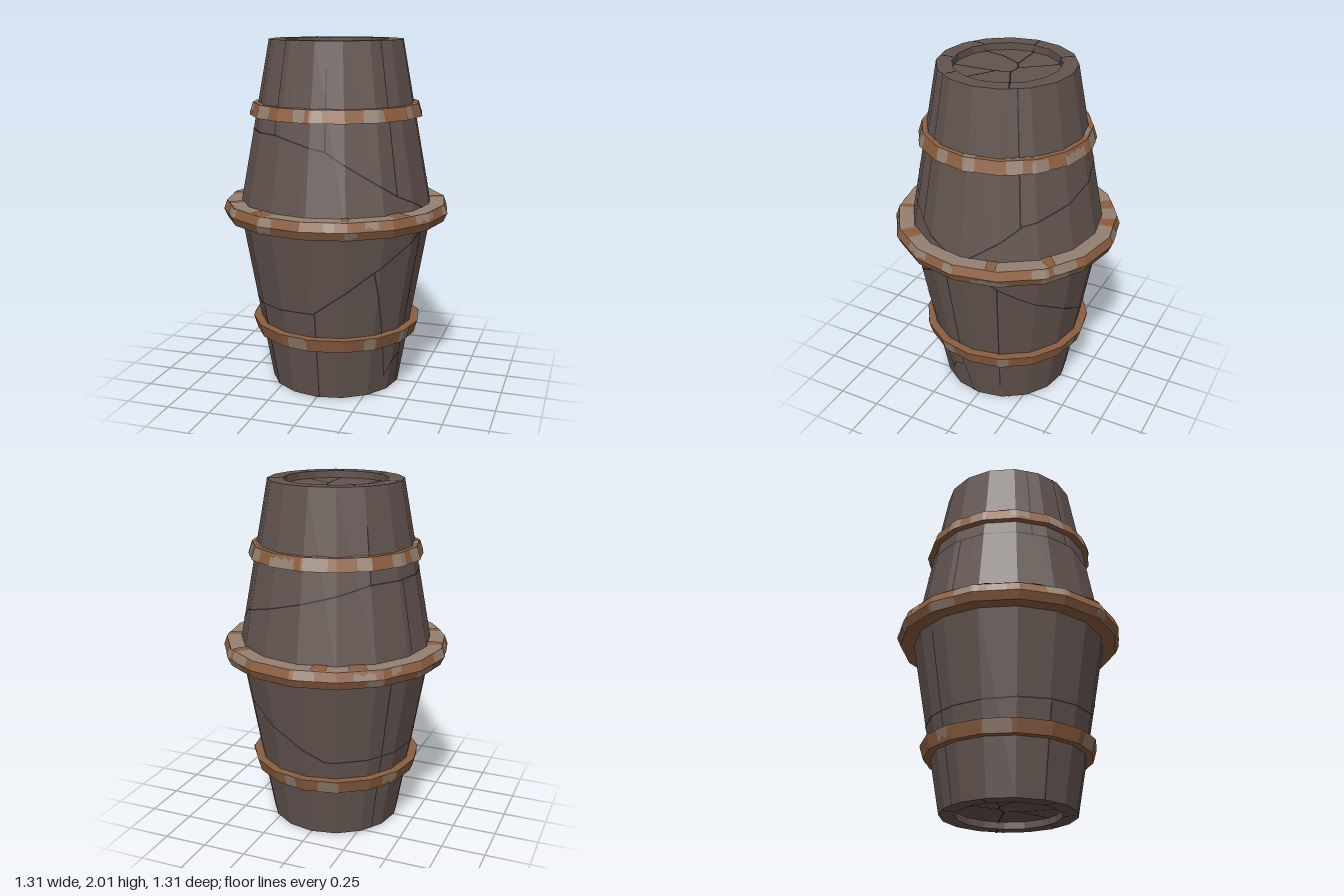
import * as THREE from 'three';

const SIDES = 16;
const RAD = Math.PI / 180;
const mat = (name, color, extra = {}) => new THREE.MeshStandardMaterial({ name, color, ...extra });

// Small seeded generator for the rust pattern
function seeded(seed) {
  let s = seed;
  return () => (s = (s * 16807) % 2147483647) / 2147483647;
}

// Radius of a 16-sided ring in direction a (degrees, from +z towards +x)
function facet(r, a) {
  const step = 360 / SIDES;
  const d = (((a % step) + step) % step) - step / 2;
  return (r * Math.cos((step / 2) * RAD)) / Math.cos(d * RAD);
}
function ringPoint(r, a, y) {
  const f = facet(r, a);
  return new THREE.Vector3(f * Math.sin(a * RAD), y, f * Math.cos(a * RAD));
}
const woodRadius = (y) => 0.38 + 0.18 * (y < 1.03 ? y / 1.03 : (2 - y) / 0.97);

// Faceted solid of revolution
function turned(points) {
  const g = new THREE.LatheGeometry(points.map(([r, y]) => new THREE.Vector2(r, y)), SIDES).toNonIndexed();
  g.computeVertexNormals();
  return g;
}

// Thin face spanned between pairs of points
function sheet(columns) {
  const pos = [];
  for (let i = 0; i + 1 < columns.length; i++) {
    const [a, b] = columns[i];
    const [c, d] = columns[i + 1];
    for (const p of [a, c, b, b, c, d]) pos.push(p.x, p.y, p.z);
  }
  const g = new THREE.BufferGeometry();
  g.setAttribute('position', new THREE.Float32BufferAttribute(pos, 3));
  g.computeVertexNormals();
  return g;
}

// Narrow painted line along a 2D path, laid on a surface by map(u, v)
function line(path, map, width = 0.008) {
  const columns = [];
  for (let i = 0; i + 1 < path.length; i++) {
    const [u0, v0] = path[i];
    const [u1, v1] = path[i + 1];
    const len = Math.hypot(u1 - u0, v1 - v0);
    const nu = (-(v1 - v0) / len) * width / 2;
    const nv = ((u1 - u0) / len) * width / 2;
    const n = Math.ceil(len / 0.015);
    for (let k = 0; k <= n; k++) {
      const u = u0 + ((u1 - u0) * k) / n;
      const v = v0 + ((v1 - v0) * k) / n;
      columns.push([map(u - nu, v - nv), map(u + nu, v + nv)]);
    }
  }
  return sheet(columns);
}

// Ragged blotches scattered evenly round a hoop face, each filling part of its share
function blotches(count, coverage, seed, map) {
  const rnd = seeded(seed);
  const share = 360 / count;
  return Array.from({ length: count }, (_, j) => {
    const width = share * coverage * (0.5 + rnd());
    const start = j * share + rnd() * Math.max(0, share - width);
    const cut = rnd() < 0.5 ? 0 : 0.35 * rnd();
    const low = rnd() < 0.5;
    const n = Math.ceil(width / 1.5) + 2;
    const columns = [];
    for (let i = 0; i <= n; i++) {
      const a = start + (width * i) / n;
      const bite = i === 0 || i === n ? 0.3 : cut * (1 + 0.5 * Math.sin(a));
      columns.push([map(a, low ? 0 : bite), map(a, low ? 1 - bite : 1)]);
    }
    return sheet(columns);
  });
}

export function createModel() {
  const group = new THREE.Group();
  group.name = 'barrel';
  const wood = mat('dark wood', 0x62544f);
  const rust = mat('rust', 0x8c5f40, { side: THREE.DoubleSide });
  const iron = mat('worn iron', 0x948171, { side: THREE.DoubleSide });
  const crack = mat('crack', 0x30292a, { side: THREE.DoubleSide });
  const add = (name, geometry, material, parent = group) => {
    const m = new THREE.Mesh(geometry, material);
    m.name = name;
    parent.add(m);
  };

  // Body with recessed lids
  add('body', turned([[0, 0.04], [0.295, 0.04], [0.295, 0], [0.38, 0], [0.56, 1.03],
    [0.38, 2], [0.295, 2], [0.295, 1.96], [0, 1.96]]), wood);

  // Cracks in the staves, as [angle, height] paths
  const cracks = new THREE.Group();
  cracks.name = 'cracks';
  group.add(cracks);
  const arc = 0.47 * RAD;
  const staveCrack = (path) => add('staveCrack', line(path.map(([a, y]) => [a * arc, y]),
    (u, y) => ringPoint(woodRadius(y) + 0.003, u / arc, y)), crack, cracks);

  // Two long cracks wandering round the barrel
  staveCrack([[-90, 1.5], [-25, 1.5], [10, 1.43], [56, 1.18], [89, 1.05], [126, 1.28], [225, 1.5], [270, 1.5]]);
  staveCrack([[-90, 0.5], [2, 0.53], [41, 0.77], [90, 1.03], [125, 0.82], [194, 0.49], [270, 0.5]]);
  staveCrack([[41, 0.77], [61, 0.1], [69, 0.19], [79, 0.21], [85, 0]]);

  // Upright cracks that branch from them: angle, top, bottom
  for (const [a, top, bottom] of [[-28, 2, 1.5], [10, 1.86, 1.43], [-56, 2, 1.5], [56, 2, 1.18],
    [125, 2, 1.28], [225, 1.8, 1.5], [252, 1.5, 1.1], [2.5, 0.53, 0], [78, 0.98, 0.22],
    [111, 0.9, 0.1], [-44, 0.5, 0], [236, 0.95, 0]]) {
    staveCrack([[a, top], [a, bottom]]);
  }

  // Cracks across both lids, as [x, z] paths
  const lidCracks = [
    [[-0.37, -0.02], [-0.09, -0.02], [-0.03, -0.05], [0.04, -0.04], [0.33, -0.18]],
    [[-0.03, -0.05], [-0.23, -0.29]],
    [[0.04, -0.04], [0.06, 0.04], [0.08, 0.35]],
    [[0.06, 0.04], [0.3, 0.2]],
    [[-0.09, -0.02], [-0.16, 0.11], [-0.19, 0.31]],
  ];
  for (const top of [true, false]) {
    for (const path of lidCracks) {
      add('lidCrack', line(path, (x, z) => {
        const inset = Math.hypot(x, z) < facet(0.295, Math.atan2(x, z) / RAD) ? 0.04 : 0;
        return new THREE.Vector3(x, top ? 2.003 - inset : inset - 0.003, z);
      }), crack, cracks);
    }
  }

  // Rusty hoop from its section; returns a painter for blotches on its faces
  function makeHoop(name, section) {
    const hoop = new THREE.Group();
    hoop.name = name;
    group.add(hoop);
    add('band', turned(section), rust, hoop);
    return (part, material, face, count, coverage, seed, lift = 0.003) => {
      const [r0, y0] = section[face];
      const [r1, y1] = section[face + 1];
      const flat = y0 === y1;
      const map = (a, t) => ringPoint(r0 + (r1 - r0) * t + (flat ? 0 : lift), a,
        y0 + (y1 - y0) * t + (flat ? lift : 0));
      for (const g of blotches(count, coverage, seed, map)) add(part, g, material, hoop);
    };
  }

  const upper = makeHoop('upperHoop', [[0.42, 1.58], [0.495, 1.58], [0.473, 1.65], [0.42, 1.65]]);
  upper('wornPatch', iron, 1, 14, 0.55, 31);
  upper('wornPatch', iron, 2, 7, 0.35, 77);

  const lower = makeHoop('lowerHoop', [[0.42, 0.31], [0.473, 0.31], [0.495, 0.385], [0.42, 0.385]]);
  lower('wornPatch', iron, 1, 8, 0.35, 53);

  // Middle hoop: bare iron upper face with rust spots
  const middle = makeHoop('middleHoop',
    [[0.5, 0.99], [0.632, 0.99], [0.653, 1.037], [0.635, 1.087], [0.5, 1.087]]);
  middle('wornPatch', iron, 2, 13, 0.4, 19);
  middle('wornPatch', iron, 1, 6, 0.2, 41);
  add('middleHoopUpperFace', turned([[0.635, 1.089], [0.5, 1.089]]), iron);
  middle('rustSpot', rust, 3, 9, 0.2, 65, 0.006);
  return group;
}
